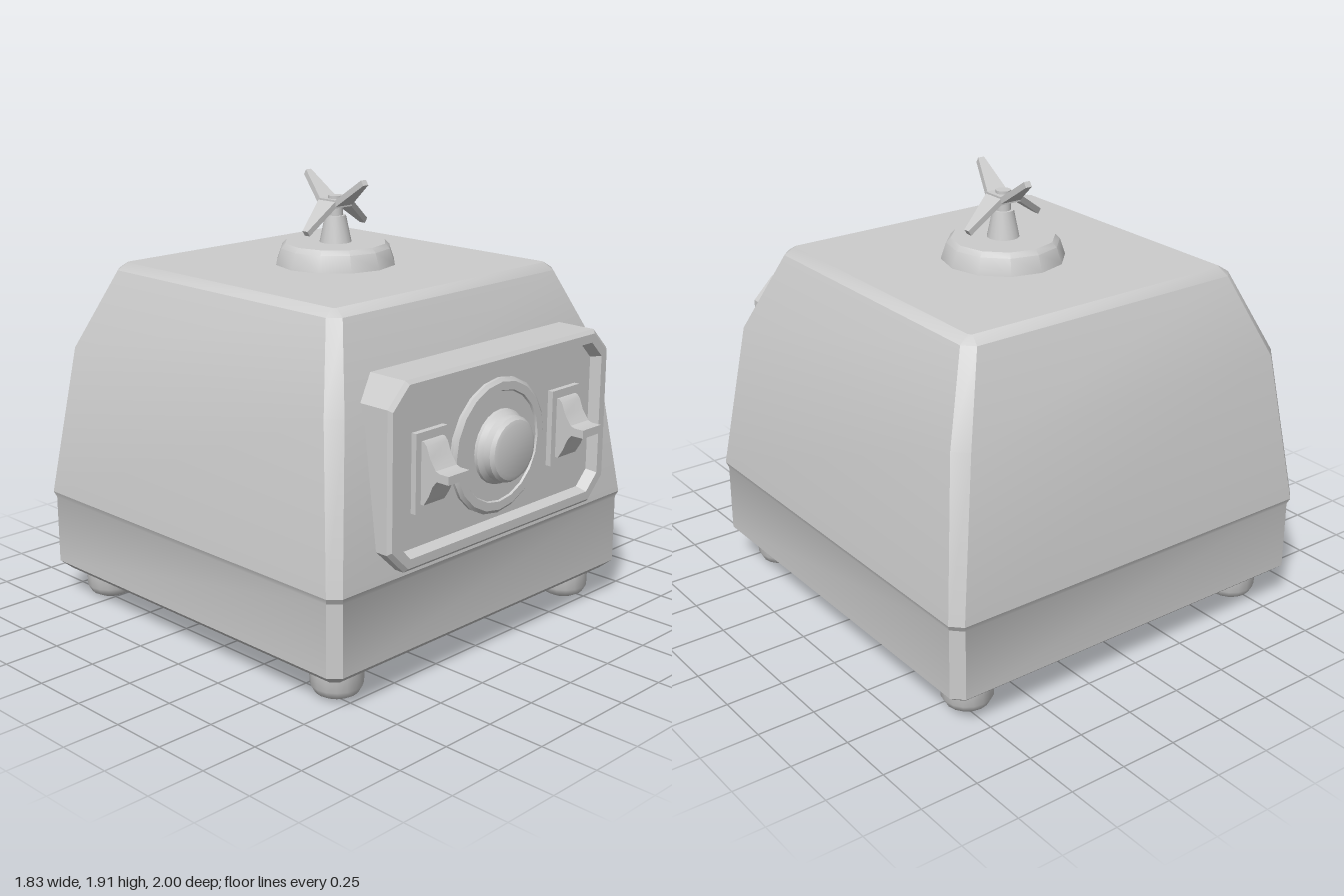
import * as THREE from 'three';
import { toCreasedNormals } from 'three/addons/utils/BufferGeometryUtils.js';

const material = new THREE.MeshStandardMaterial({ color: 0xcccccc });
const CZ = -0.085; // centre of the housing in z

function add(parent, name, geometry, x = 0, y = 0, z = 0, crease = 0.5) {
  const mesh = new THREE.Mesh(toCreasedNormals(geometry, crease), material);
  mesh.name = name;
  mesh.position.set(x, y, z);
  parent.add(mesh);
  return mesh;
}

// Lofts chamfered rectangles [halfX, halfZ, chamfer, y] along y and caps both ends
function chamferedLoft(rings) {
  const pos = [], idx = [];
  for (const [hx, hz, c, y] of rings) {
    const corners = [
      [hx, c - hz], [hx, hz - c], [hx - c, hz], [c - hx, hz],
      [-hx, hz - c], [-hx, c - hz], [c - hx, -hz], [hx - c, -hz],
    ];
    for (const [x, v] of corners) pos.push(x, y, -v);
  }
  const last = (rings.length - 1) * 8;
  for (let r = 0; r < last; r += 8) {
    for (let j = 0; j < 8; j++) {
      const k = (j + 1) % 8;
      idx.push(r + j, r + k, r + 8 + k, r + j, r + 8 + k, r + 8 + j);
    }
  }
  for (let j = 1; j < 7; j++) {
    idx.push(0, j + 1, j, last, last + j, last + j + 1);
  }
  const g = new THREE.BufferGeometry();
  g.setAttribute('position', new THREE.Float32BufferAttribute(pos, 3));
  g.setIndex(idx);
  return g;
}

const lathe = (points, sides) =>
  new THREE.LatheGeometry(points.map(([r, y]) => new THREE.Vector2(r, y)), sides);

const polygon = (points) => new THREE.Shape(points.map(([x, y]) => new THREE.Vector2(x, y)));

// Tapered blade lying along +x; side picks the straight edge, tilt raises the tip
function bladeGeometry(side, tilt) {
  const shape = polygon([[0, -0.05 * side], [0, 0.05 * side], [0.195, 0.05 * side], [0.195, 0.02 * side]]);
  const g = new THREE.ExtrudeGeometry(shape, { depth: 0.025, bevelEnabled: false });
  g.translate(0, 0, -0.0125);
  g.rotateX(-Math.PI / 2);
  g.rotateZ(tilt);
  g.translate(0.045, 0, 0);
  return g;
}

export function createModel() {
  const model = new THREE.Group();
  model.name = 'blenderBase';

  // Housing: straight skirt, small ledge, then sides leaning in to the top
  add(model, 'housing', chamferedLoft([
    [0.86, 0.86, 0.03, 0.125],
    [0.905, 0.905, 0.045, 0.165],
    [0.905, 0.905, 0.045, 0.47],
    [0.915, 0.915, 0.045, 0.495],
    [0.83, 0.83, 0.055, 1.16],
    [0.685, 0.685, 0.045, 1.5],
    [0.64, 0.64, 0.012, 1.53],
  ]), 0, 0, CZ);

  // Feet
  for (const x of [-0.725, 0.725]) {
    for (const z of [0.65, -0.81]) {
      add(model, 'foot', lathe([
        [0, 0], [0.06, 0.002], [0.09, 0.018], [0.108, 0.05], [0.11, 0.13],
      ], 16), x, 0, z, 0.7);
    }
  }

  // Control panel with a raised rim and a recessed floor
  const panel = chamferedLoft([
    [0.675, 0.382, 0.095, 0.6],
    [0.675, 0.382, 0.095, 0.868],
    [0.66, 0.367, 0.09, 0.883],
    [0.625, 0.33, 0.07, 0.883],
    [0.61, 0.315, 0.065, 0.835],
  ]);
  panel.rotateX(Math.PI / 2);
  add(model, 'controlPanel', panel, 0, 0.913, 0);

  // Dial ring and knob, turned to face the front
  const dial = new THREE.Group();
  dial.name = 'dial';
  dial.position.set(0, 0.907, 0);
  dial.rotation.x = Math.PI / 2;
  model.add(dial);
  add(dial, 'dialRing', lathe([
    [0.285, 0.83], [0.285, 0.848], [0.27, 0.86], [0.235, 0.86], [0.23, 0.852], [0.14, 0.852],
  ], 20));
  add(dial, 'knob', lathe([
    [0.157, 0.85], [0.155, 0.865], [0.14, 0.885], [0.137, 0.915],
    [0.125, 0.93], [0.108, 0.936], [0, 0.936],
  ], 24));

  // Rocker switches: a plate and a paddle with a projecting tip
  const paddle = polygon([
    [0.84, 1.035], [0.872, 1.035], [0.887, 1.02], [0.905, 0.975], [0.935, 0.932], [0.955, 0.925],
    [1.0, 0.925], [1.0, 0.89], [0.94, 0.89], [0.92, 0.865], [0.9, 0.82], [0.875, 0.78], [0.84, 0.78],
  ]);
  for (const x of [-0.417, 0.417]) {
    add(model, 'switchPlate', new THREE.BoxGeometry(0.178, 0.325, 0.04), x, 0.907, 0.84);
    const g = new THREE.ExtrudeGeometry(paddle, { depth: 0.12, bevelEnabled: false });
    g.translate(0, 0, -0.06);
    g.rotateY(-Math.PI / 2);
    add(model, 'switchPaddle', g, x, 0, 0);
  }

  // Collar on the top and the tapered shaft holding the blades
  add(model, 'collar', lathe([
    [0.265, 1.52], [0.262, 1.535], [0.24, 1.6], [0.22, 1.62], [0, 1.62],
  ], 12), 0, 0, CZ, 0.6);
  add(model, 'shaft', lathe([
    [0.07, 1.615], [0.045, 1.735], [0.032, 1.735], [0.032, 1.82], [0, 1.82],
  ], 16), 0, 0, CZ);

  // Cutter: one pair of blades bent down along x, one pair bent up along z
  const cutter = new THREE.Group();
  cutter.name = 'cutter';
  cutter.position.set(0, 1.79, CZ);
  model.add(cutter);
  add(cutter, 'cutterPlate', new THREE.BoxGeometry(0.1, 0.035, 0.1));
  for (let i = 0; i < 4; i++) {
    const sign = i % 2 ? -1 : 1;
    const blade = add(cutter, 'blade', bladeGeometry(sign, -sign * 0.58));
    blade.rotation.y = i * Math.PI / 2;
  }

  return model;
}
